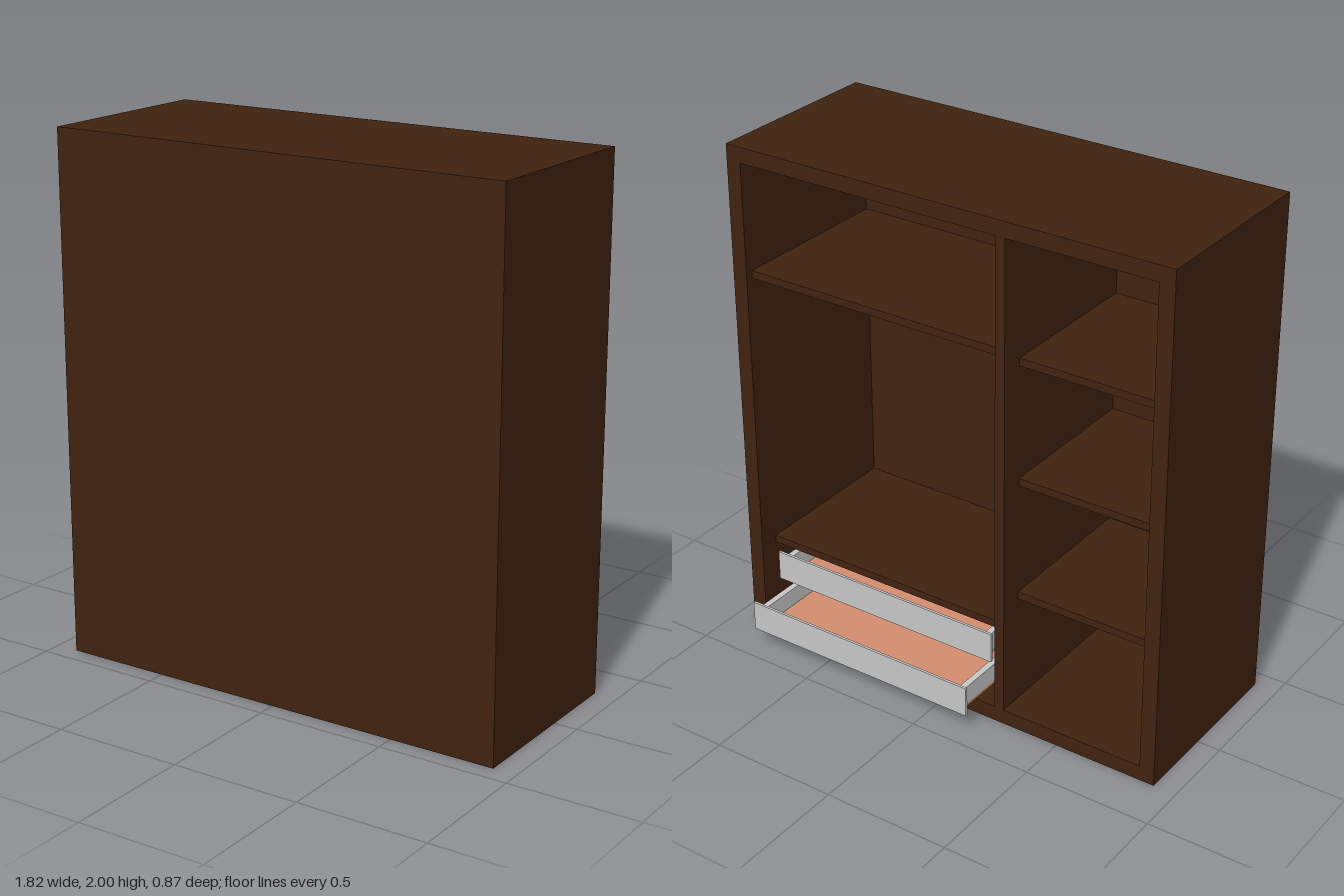
import * as THREE from 'three';

const wood = new THREE.MeshStandardMaterial({ color: 0x40220f });
wood.name = 'dark wood';
const grey = new THREE.MeshStandardMaterial({ color: 0xc8c8c8 });
grey.name = 'light grey';
const coral = new THREE.MeshStandardMaterial({ color: 0xd48d70 });
coral.name = 'coral';

// Box given by its limits on each axis
function slab(parent, name, material, [x0, x1], [y0, y1], [z0, z1]) {
  const mesh = new THREE.Mesh(new THREE.BoxGeometry(x1 - x0, y1 - y0, z1 - z0), material);
  mesh.position.set((x0 + x1) / 2, (y0 + y1) / 2, (z0 + z1) / 2);
  mesh.name = name;
  parent.add(mesh);
  return mesh;
}

// Shallow tray: thin face plate, four walls and a coral base
function drawer(name, y, z) {
  const g = new THREE.Group();
  g.name = name;
  const depth = 0.6;
  slab(g, 'drawerFace', grey, [-0.19, 0.8], [0, 0.12], [0, 0.01]);
  slab(g, 'drawerBase', coral, [-0.17, 0.78], [0.015, 0.027], [0.01, depth]);
  for (const x of [-0.17, 0.755]) {
    slab(g, 'drawerSide', grey, [x, x + 0.025], [0.027, 0.1], [0.01, depth]);
  }
  slab(g, 'drawerEnd', grey, [-0.145, 0.755], [0.027, 0.1], [depth - 0.025, depth]);
  g.position.set(0, y, z);
  return g;
}

export function createModel() {
  const model = new THREE.Group();
  model.name = 'wardrobe';

  // Carcass, closed at +z and open at -z
  const W = 0.91, T = 0.06, back = -0.31, panel = 0.395, front = 0.43;
  slab(model, 'frontPanel', wood, [-W, W], [0, 2], [panel, front]);
  slab(model, 'topPanel', wood, [-W, W], [2 - T, 2], [back, panel]);
  slab(model, 'bottomPanel', wood, [-W, W], [0, T], [back, panel]);
  slab(model, 'rightPanel', wood, [-W, -W + T], [T, 2 - T], [back, panel]);
  slab(model, 'leftPanel', wood, [W - T, W], [T, 2 - T], [back, panel]);
  slab(model, 'divider', wood, [-0.27, -0.23], [T, 2 - T], [back, panel]);

  // Shelves in the narrow bay
  for (const y of [0.527, 0.997, 1.467]) {
    slab(model, 'narrowShelf', wood, [-W + T, -0.27], [y - 0.03, y], [-0.22, panel]);
  }

  // Shelves in the wide bay
  slab(model, 'hatShelf', wood, [-0.23, W - T], [1.486, 1.516], [-0.28, panel]);
  slab(model, 'drawerShelf', wood, [-0.23, W - T], [0.344, 0.374], [-0.23, panel]);

  // Hanging rail with an end flange on each side
  const rail = new THREE.Group();
  rail.name = 'hangingRail';
  const rod = (name, radius, length, x) => {
    const m = new THREE.Mesh(new THREE.CylinderGeometry(radius, radius, length, 24), grey);
    m.rotation.z = Math.PI / 2;
    m.position.x = x;
    m.name = name;
    rail.add(m);
  };
  rod('rod', 0.016, 1.08, 0.31);
  rod('railFlange', 0.03, 0.015, -0.2225);
  rod('railFlange', 0.03, 0.015, 0.8425);
  rail.position.set(0, 1.41, 0.01);
  model.add(rail);

  // Lower drawer pulled out, upper drawer pushed in
  model.add(drawer('lowerDrawer', 0.075, -0.435));
  model.add(drawer('upperDrawer', 0.22, -0.275));

  return model;
}
